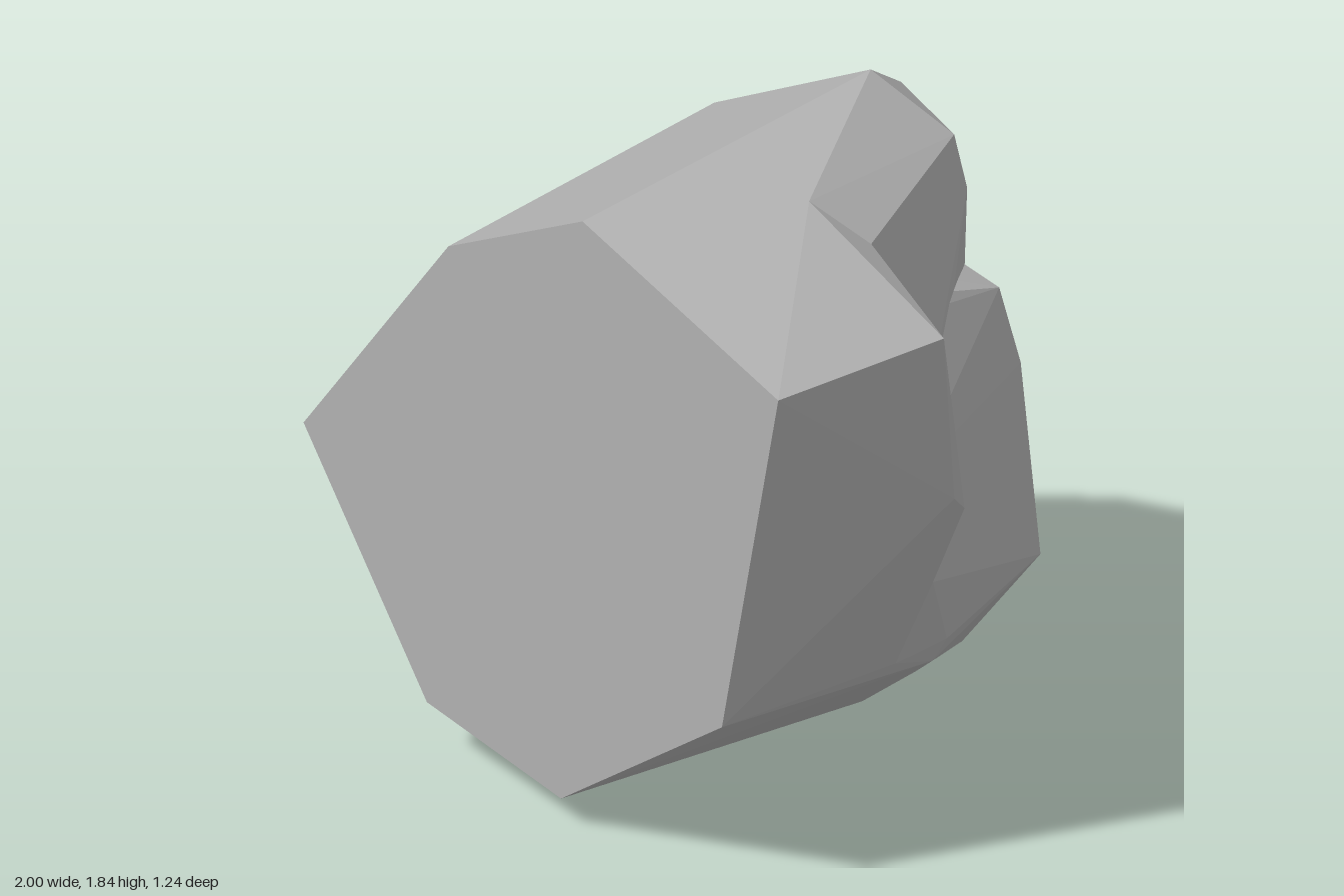
import * as THREE from 'three';
import { ConvexGeometry } from 'three/addons/geometries/ConvexGeometry.js';

const V = (x, y, z) => new THREE.Vector3(x, y, z);

// A faceted boulder: overlapping convex chunks leave a notch and a small chip.
export function createModel() {
  const stone = new THREE.MeshStandardMaterial({ color: 0xb0b0b0 });
  stone.name = 'grey stone';
  const rock = new THREE.Group();
  rock.name = 'rock';

  const addChunk = (name, points) => {
    const mesh = new THREE.Mesh(new ConvexGeometry(points), stone);
    mesh.name = name;
    rock.add(mesh);
  };

  // flat cut front face, without its upper right corner
  const cutFace = [
    [0.2, 1.73], [-0.3, 1.46], [-0.84, 0.75], [-0.38, 0.15], [0.12, 0.08], [0.72, 0.52],
  ].map(([x, y]) => V(x, y, 0.615));

  // upper rim, chamfer behind it and the ridge beside the notch
  const crown = [
    V(0.23, 1.84, -0.31), V(-0.33, 1.53, -0.29), V(0.52, 1.75, 0.15),
    V(0.65, 1.65, 0.06), V(0.53, 1.69, -0.16), V(0.44, 1.71, -0.4),
    V(0.23, 1.77, -0.41), V(-0.2, 1.4, -0.435), V(-0.41, 1.42, -0.38),
    V(0.46, 1.56, -0.425),
  ];
  // pointed side
  const point = [V(-1, 0.69, -0.14), V(-0.82, 0.89, -0.31), V(-0.86, 0.64, -0.35)];
  // underside corners
  const base = [
    V(-0.41, 0.08, -0.45), V(0.12, 0, -0.38), V(-0.53, 0.21, -0.56),
    V(-0.26, 0.24, -0.62), V(0.3, 0.18, -0.55), V(0.23, 0.1, -0.46),
  ];
  // notch floor and the edges of the chip
  const notch = [V(0.65, 1.04, -0.09), V(0.75, 1.03, 0)];
  const chip = [V(0.55, 1.35, -0.3), V(0.33, 1.3, -0.47), V(0.345, 0.9, -0.505)];

  addChunk('upperBody', [...cutFace, ...crown, ...point, ...base.slice(0, 4), ...notch, ...chip]);

  addChunk('lowerBody', [
    ...cutFace, ...point, ...base, ...notch, ...chip,
    V(0.59, 1.36, -0.125), V(0.54, 1.3, -0.46), V(0.575, 1.09, -0.5),
    V(0.66, 0.59, -0.49), V(0.74, 0.52, -0.11), V(0.72, 0.46, -0.08),
    V(0.74, 0.51, 0.06), V(0.79, 0.73, -0.02), V(-0.41, 1.42, -0.38),
    V(-0.2, 1.4, -0.435),
  ]);

  // lobe in front of the notch
  addChunk('frontLobe', [
    ...cutFace, V(0.93, 1.52, 0.615), V(1, 1.55, 0.13), V(0.96, 1.06, 0.06),
    V(0.93, 1, 0), V(0.79, 0.73, -0.02), V(0.74, 0.51, 0.06),
    V(0.65, 1.65, 0.06), V(0.52, 1.75, 0.15), V(0.75, 1.03, 0),
  ]);

  return rock;
}
